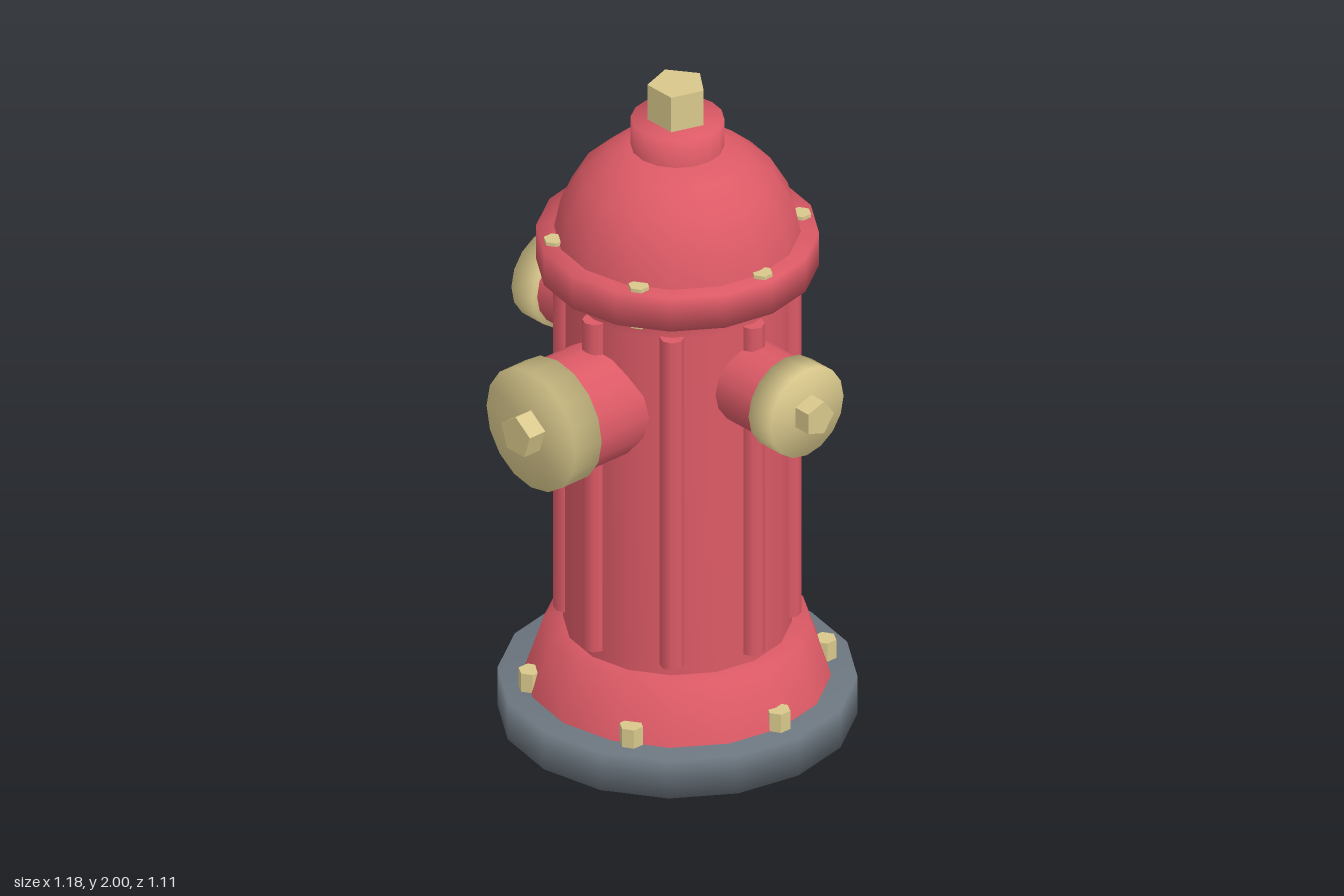
import * as THREE from 'three';

export function createModel() {
  const red = new THREE.MeshStandardMaterial({ name: 'red paint', color: 0xdc5a66 });
  const brass = new THREE.MeshStandardMaterial({ name: 'pale brass', color: 0xd9c88c });
  const grey = new THREE.MeshStandardMaterial({ name: 'grey stone', color: 0x6c767f });
  const nutBrass = new THREE.MeshStandardMaterial({ name: 'faceted brass', color: 0xd9c88c, flatShading: true });

  const model = new THREE.Group();
  model.name = 'hydrant';
  const barrel = new THREE.Group();
  barrel.name = 'barrel';
  barrel.position.z = -0.053;
  model.add(barrel);

  const add = (parent, name, geometry, material) => {
    const mesh = new THREE.Mesh(geometry, material);
    mesh.name = name;
    parent.add(mesh);
    return mesh;
  };
  // Turned part: [radius, height] pairs from bottom to top
  const turned = (parent, name, profile, material) =>
    add(parent, name, new THREE.LatheGeometry(profile.map(([r, y]) => new THREE.Vector2(r, y)), 16), material);
  // Faceted prism between two heights, with one corner towards -z
  const prism = (parent, name, r, y0, y1, sides) => {
    const g = new THREE.CylinderGeometry(r, r, y1 - y0, sides);
    g.rotateY(Math.PI);
    g.translate(0, (y0 + y1) / 2, 0);
    return add(parent, name, g, nutBrass);
  };

  // Base, skirt and column
  turned(barrel, 'basePlate', [[0, 0], [0.5, 0], [0.5, 0.12], [0, 0.12]], grey);
  turned(barrel, 'skirt', [[0.43, 0.11], [0.37, 0.29], [0.28, 0.29]], red);
  turned(barrel, 'column', [[0.318, 0.28], [0.316, 1.36], [0.297, 1.39], [0.325, 1.44]], red);

  // Flange, dome and collar
  turned(barrel, 'flange', [[0.28, 1.43], [0.393, 1.43], [0.393, 1.535], [0.3, 1.535]], red);
  turned(barrel, 'dome', [[0.344, 1.53], [0.325, 1.62], [0.273, 1.71], [0.2, 1.773], [0.13, 1.803], [0, 1.815]], red);
  turned(barrel, 'collar', [[0.13, 1.78], [0.13, 1.89], [0, 1.89]], red);
  prism(barrel, 'topNut', 0.084, 1.87, 2, 5);

  // Vertical ribs
  for (let i = 0; i < 8; i++) {
    const a = (i * Math.PI) / 4;
    const rib = add(barrel, 'rib', new THREE.CylinderGeometry(0.034, 0.034, 1.045, 8), red);
    rib.position.set(Math.sin(a) * 0.311, 0.8425, Math.cos(a) * 0.311);
    rib.rotation.y = a;
  }

  // Bolts on the flange and the base
  for (let i = 0; i < 6; i++) {
    const a = (i * Math.PI) / 3;
    const place = (mesh, r) => mesh.position.set(Math.cos(a) * r, 0, Math.sin(a) * r);
    place(prism(barrel, 'flangeBolt', 0.03, 1.42, 1.546, 6), 0.35);
    place(prism(barrel, 'baseBolt', 0.034, 0.1, 0.178, 6), 0.418);
  }

  // Outlet: pipe, cap and nut along its own y axis
  const outlet = (name, height, pipeR, capR, nutR, [capStart, capEnd, nutEnd]) => {
    const g = new THREE.Group();
    g.name = name;
    g.position.y = height;
    turned(g, 'pipe', [[pipeR, 0.2], [pipeR, capStart + 0.01]], red);
    turned(g, 'cap', [[0, capStart], [capR, capStart], [capR, capEnd], [0, capEnd]], brass);
    prism(g, 'capNut', nutR, capEnd - 0.02, nutEnd, 5);
    barrel.add(g);
    return g;
  };
  outlet('frontOutlet', 1.103, 0.17, 0.184, 0.062, [0.45, 0.548, 0.606]).rotation.x = Math.PI / 2;
  outlet('leftOutlet', 1.175, 0.122, 0.137, 0.053, [0.445, 0.535, 0.588]).rotation.z = -Math.PI / 2;
  outlet('rightOutlet', 1.175, 0.122, 0.137, 0.053, [0.445, 0.535, 0.588]).rotation.z = Math.PI / 2;

  return model;
}
